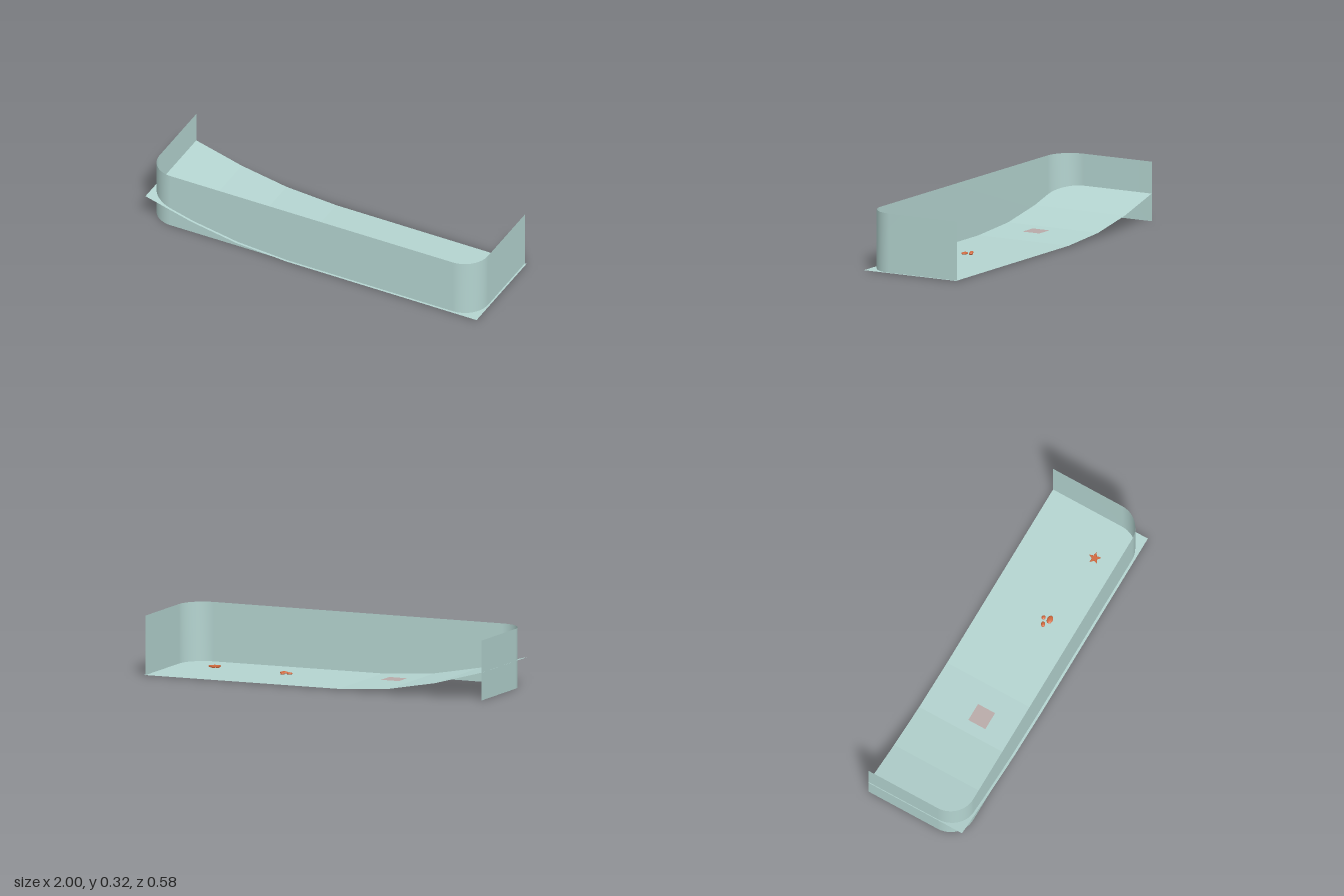
import * as THREE from 'three';

const mat = (color, extra = {}) => new THREE.MeshStandardMaterial({ color, ...extra });

function add(group, name, geometry, material, x = 0, y = 0, z = 0) {
  const mesh = new THREE.Mesh(geometry, material);
  mesh.name = name;
  mesh.position.set(x, y, z);
  group.add(mesh);
  return mesh;
}

// Upright or lying sheet: joins two matching edges with quads
function sheet(edgeA, edgeB) {
  const geo = new THREE.BufferGeometry().setFromPoints([...edgeA, ...edgeB]);
  const n = edgeA.length, index = [];
  for (let i = 0; i < n - 1; i++) index.push(i, i + 1, n + i + 1, i, n + i + 1, n + i);
  geo.setIndex(index);
  geo.computeVertexNormals();
  return geo;
}

// Wall outline: back corner, rounded front corners, back corner
function wallOutline(left, right, back, front, r) {
  const pts = [[left, back]];
  const arc = (cx, from) => {
    for (let i = 0; i <= 12; i++) {
      const a = from - (i / 12) * Math.PI / 2;
      pts.push([cx + r * Math.cos(a), front - r + r * Math.sin(a)]);
    }
  };
  arc(left + r, Math.PI);
  arc(right - r, Math.PI / 2);
  pts.push([right, back]);
  return pts;
}

function starShape(outer, inner, turn) {
  const pts = [];
  for (let i = 0; i < 10; i++) {
    const a = turn + i * Math.PI / 5, r = i % 2 ? inner : outer;
    pts.push(new THREE.Vector2(r * Math.cos(a), r * Math.sin(a)));
  }
  return new THREE.Shape(pts);
}

export function createModel() {
  const group = new THREE.Group();
  const pale = mat(0xb4d4d0, { side: THREE.DoubleSide });
  const paleFlat = mat(0xb4d4d0, { side: THREE.DoubleSide, flatShading: true });
  const orange = mat(0xd0683c);

  // Curved wall around the front and both ends
  const outline = wallOutline(-0.995, 0.99, -0.29, 0.278, 0.14);
  const ring = (y) => outline.map(([x, z]) => new THREE.Vector3(x, y, z));
  add(group, 'wall', sheet(ring(0), ring(0.325)), pale);

  // Floor sheet, level on one side and sweeping up on the other
  const profile = [[-1, 0.152], [-0.72, 0.075], [-0.45, 0.026], [-0.15, 0.005], [1, 0.002]];
  const edge = (z) => profile.map(([x, y]) => new THREE.Vector3(x, y, z));
  add(group, 'floor', sheet(edge(0.291), edge(-0.289)), paleFlat);

  // Small square patch
  const patch = add(group, 'patch', new THREE.PlaneGeometry(0.105, 0.105),
    mat(0xb8aaa8, { side: THREE.DoubleSide }), -0.33, 0.024, 0.028);
  patch.rotation.x = -Math.PI / 2;

  // Starfish
  const star = new THREE.ExtrudeGeometry(starShape(0.032, 0.013, 0.25), {
    depth: 0.005, bevelThickness: 0.003, bevelSize: 0.002, bevelSegments: 1,
  });
  add(group, 'starfish', star, orange, 0.76, 0.005, 0.1).rotation.x = -Math.PI / 2;

  // Pebbles: x, z, half length, half width, turn
  const pebbles = [[0.295, 0.048, 0.016, 0.011, 0.5], [0.33, 0.031, 0.012, 0.011, 0], [0.336, 0.067, 0.024, 0.016, 0.1]];
  for (const [x, z, a, b, turn] of pebbles) {
    const pebble = add(group, 'pebble', new THREE.SphereGeometry(1, 16, 10), orange, x, 0.008, z);
    pebble.scale.set(a, 0.007, b);
    pebble.rotation.y = turn;
  }
  return group;
}
